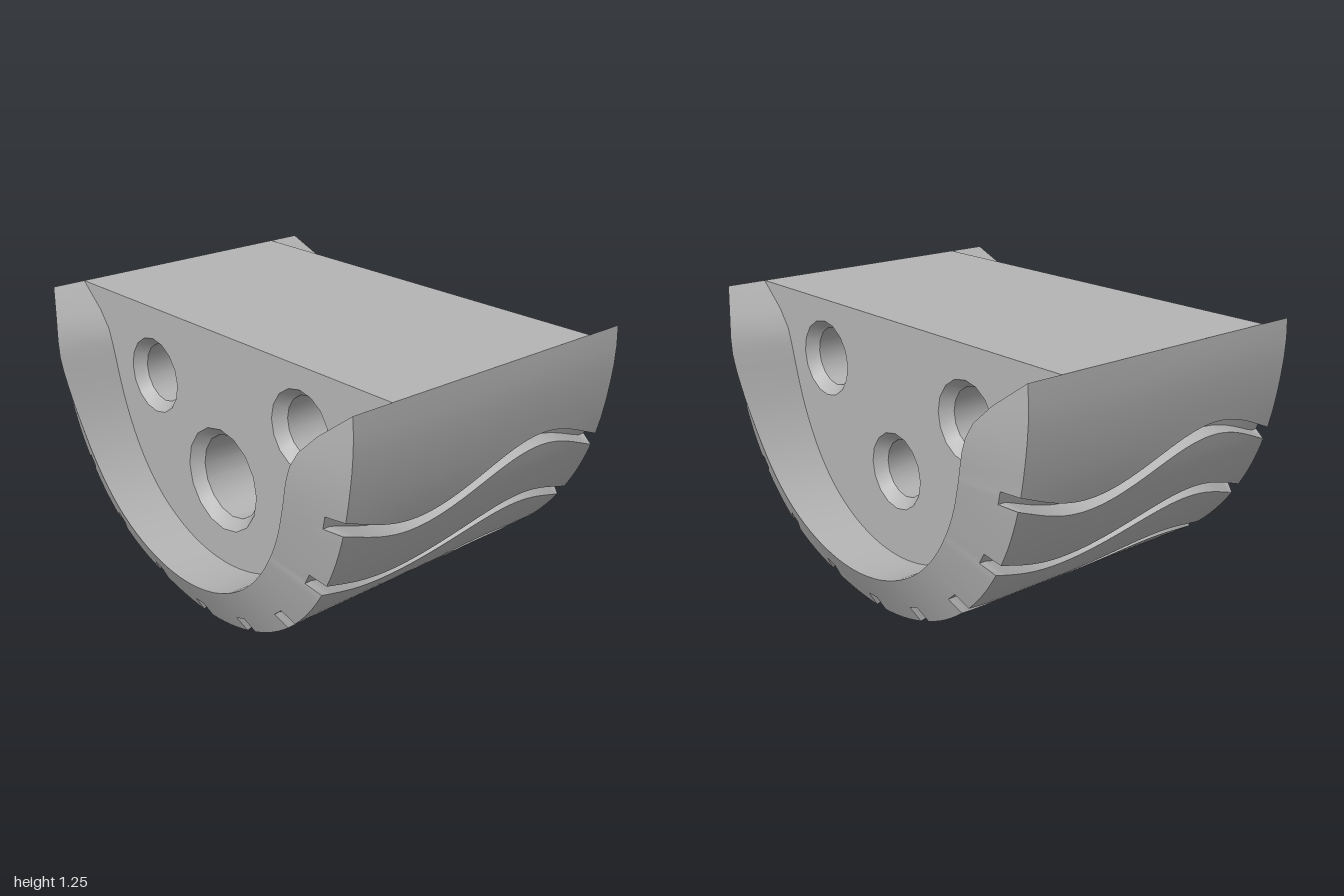
import * as THREE from 'three';
import { toCreasedNormals } from 'three/addons/utils/BufferGeometryUtils.js';

const rad = THREE.MathUtils.degToRad;
const clamp = THREE.MathUtils.clamp;
const TOP = 1.25, FACE_Z = 0.55, DEPTH = 0.07;
const END = 90 + THREE.MathUtils.radToDeg(Math.atan(0.25)); // angle of the upper corners

// Smooth curve through [angle, value] pairs, mirrored about angle 0
function curve(pairs) {
  const all = [[-pairs[1][0], pairs[1][1]], ...pairs];
  const f = new THREE.CubicInterpolant(
    new Float32Array(all.map(p => p[0])), new Float32Array(all.map(p => p[1])), 1, new Float32Array(1));
  return a => f.evaluate(Math.min(Math.abs(a), END - 1e-4))[0];
}

// Polar profiles about (0, 1), angle measured from straight down
const outerR = curve([[0, 1], [20, 0.99], [40, 0.985], [58, 0.977], [77, 0.977], [88, 0.988], [END, 1.0308]]);
const ridgeR = curve([[0, 0.79], [32, 0.78], [65, 0.757], [80, 0.766], [90, 0.792], [95.6, 0.828], [100.7, 0.92], [END, 1.0308]]);
const edgeBase = curve([[0, 0.65], [36, 0.688], [70, 0.712], [END, 0.722]]);
const ridgeBase = curve([[0, 0.775], [32, 0.785], [65, 0.808], [80, 0.828], [90, 0.836], [96, 0.82], [100.7, 0.775], [END, 0.722]]);
const skew = a => 0.015 * Math.sin(rad(a));
const edgeZ = a => edgeBase(a) + skew(a);
const ridgeZ = a => ridgeBase(a) + skew(a);
const polar = (a, r, z) => new THREE.Vector3(r * Math.sin(rad(a)), 1 - r * Math.cos(rad(a)), z);

// Sideways wave of the grooves, fading out towards the upper corners
const wave = (u, z) => -5.2 * Math.sin(2 * Math.PI * z / 1.28) * clamp((END - Math.abs(u)) / 24, 0, 1);

// Columns around the drum: lands (depth 0) alternate with grooves (depth DEPTH)
function columnList() {
  const list = [];
  const span = (from, to, n, depth) => {
    for (let i = 0; i <= n; i++) list.push([from + (to - from) * i / n, depth]);
  };
  let start = -END;
  for (let k = -4; k <= 4; k++) {
    span(start, 19 * k - 1.75, 6, 0);
    span(19 * k - 1.75, 19 * k + 1.75, 2, DEPTH);
    start = 19 * k + 1.75;
  }
  span(start, END, 6, 0);
  return list;
}

// One column: rear wall, rear ridge, tread, front ridge, front wall
function makeColumn([u, depth]) {
  const ROWS = 48;
  const end = side => {
    const z0 = edgeZ(u + wave(u, side * 0.7));
    const a = u + wave(u, side * z0);
    const t = depth ? depth / (outerR(a) - ridgeR(a)) : 0;
    return { a, z0, z: z0 + t * (ridgeZ(a) - z0) };
  };
  const back = end(-1), front = end(1);
  const column = [polar(back.a, ridgeR(back.a), -FACE_Z), polar(back.a, ridgeR(back.a), -ridgeZ(back.a))];
  for (let j = 0; j <= ROWS; j++) {
    const z = -back.z + (back.z + front.z) * j / ROWS;
    const a = u + wave(u, clamp(z, -back.z0, front.z0));
    column.push(polar(a, outerR(a) - depth, z));
  }
  column.push(polar(front.a, ridgeR(front.a), ridgeZ(front.a)), polar(front.a, ridgeR(front.a), FACE_Z));
  return column;
}

// Surface spanned by neighbouring columns
function skin(columns) {
  const rows = columns[0].length, index = [];
  for (let i = 0; i < columns.length - 1; i++) {
    for (let j = 0; j < rows - 1; j++) {
      const a = i * rows + j, b = a + rows;
      index.push(a, b, b + 1, a, b + 1, a + 1);
    }
  }
  const g = new THREE.BufferGeometry().setFromPoints(columns.flat());
  g.setIndex(index);
  return toCreasedNormals(g, 0.5);
}

// Bores: centre and [radius, z] profile from front to back
const sideBore = [[0.168, FACE_Z], [0.13, 0.5], [0.13, -0.5], [0.168, -FACE_Z]];
const BORES = [
  { name: 'rightBore', x: -0.465, y: 0.94, profile: sideBore },
  { name: 'leftBore', x: 0.505, y: 0.985, profile: sideBore },
  { name: 'centreBore', x: 0, y: 0.6, profile: [[0.23, FACE_Z], [0.187, 0.5], [0.127, -0.5], [0.168, -FACE_Z]] },
];

// Flat recessed end with bore openings
function endPlate(columns, side) {
  const outline = [];
  for (const c of columns) {
    const p = side > 0 ? c[c.length - 1] : c[0];
    const q = new THREE.Vector2(p.x * side, p.y);
    if (!outline.length || outline[outline.length - 1].distanceTo(q) > 1e-4) outline.push(q);
  }
  const shape = new THREE.Shape(outline);
  for (const b of BORES) {
    const r = side > 0 ? b.profile[0][0] : b.profile[3][0];
    shape.holes.push(new THREE.Path().absarc(b.x * side, b.y, r, 0, Math.PI * 2, true));
  }
  const g = new THREE.ShapeGeometry(shape, 8);
  if (side < 0) g.rotateY(Math.PI);
  return g.translate(0, 0, side * FACE_Z);
}

export function createModel() {
  const group = new THREE.Group();
  const grey = new THREE.MeshStandardMaterial({ color: 0xb4b4b4 });
  grey.name = 'grey';
  const add = (name, geometry) => {
    const mesh = new THREE.Mesh(geometry, grey);
    mesh.name = name;
    group.add(mesh);
  };

  // Grooved drum with flared rims
  const columns = columnList().map(makeColumn);
  add('groovedShell', skin(columns));

  // Recessed ends and flat top
  add('frontPlate', endPlate(columns, 1));
  add('backPlate', endPlate(columns, -1));
  add('topPlate', new THREE.PlaneGeometry(2, 2 * FACE_Z).rotateX(-Math.PI / 2).translate(0, TOP, 0));

  // Chamfered through holes
  for (const b of BORES) {
    const g = new THREE.LatheGeometry(b.profile.map(([r, z]) => new THREE.Vector2(r, z)), 16);
    g.rotateX(Math.PI / 2).translate(b.x, b.y, 0);
    add(b.name, toCreasedNormals(g, 0.45));
  }
  return group;
}
